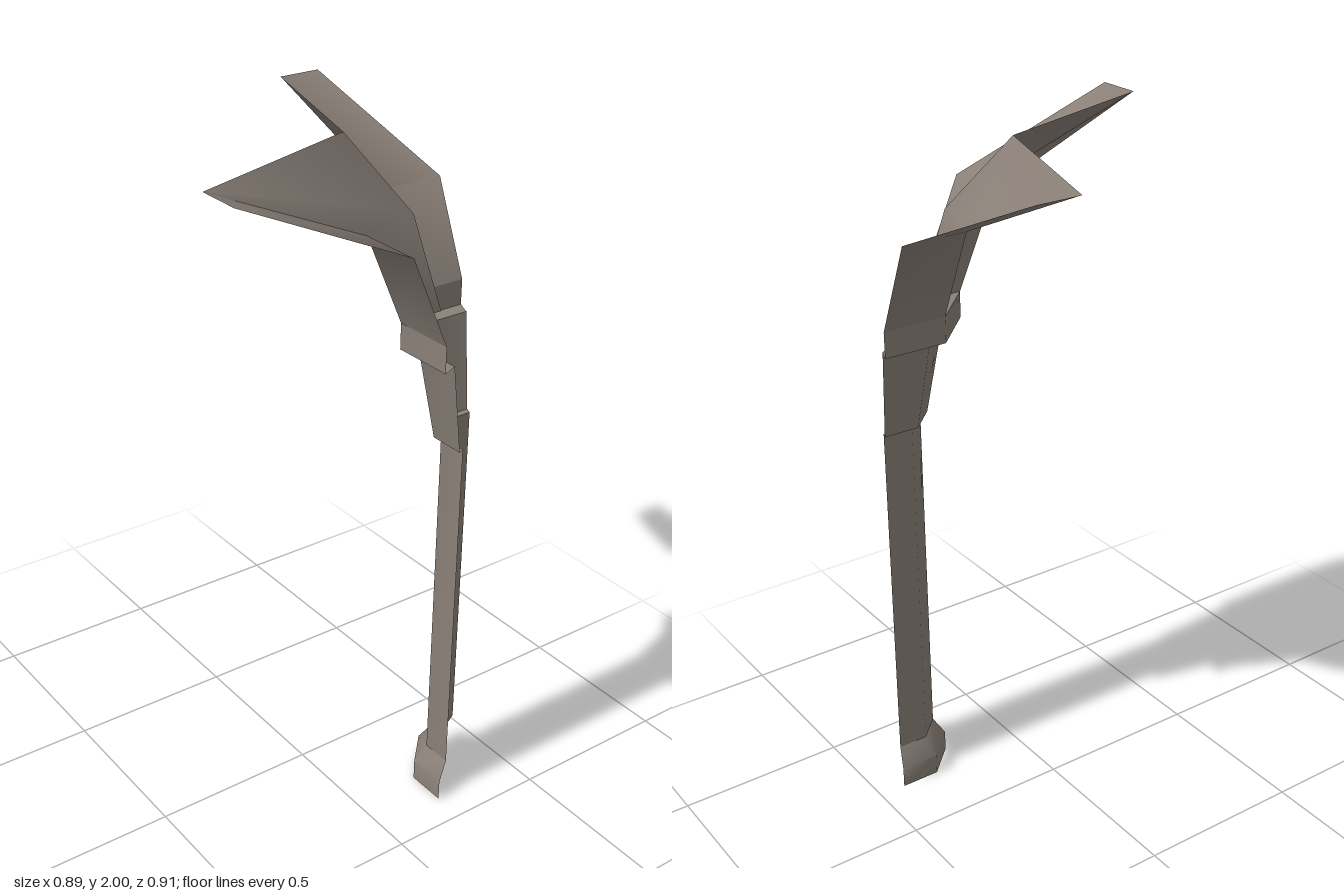
import * as THREE from 'three';
import { toCreasedNormals } from 'three/addons/utils/BufferGeometryUtils.js';

// Skin a stack of cross-sections (bottom to top); each section is { y, pts: [[x, z], ...] }
function skin(rows, crease = 0.9) {
  const pos = [], index = [], n = rows[0].pts.length;
  for (const { y, pts } of rows) for (const [x, z] of pts) pos.push(x, y, z);
  for (let r = 0; r < rows.length - 1; r++) {
    for (let i = 0; i < n - 1; i++) {
      const a = r * n + i, b = a + 1, c = a + n, d = c + 1;
      index.push(a, b, d, a, d, c);
    }
  }
  const geo = new THREE.BufferGeometry();
  geo.setAttribute('position', new THREE.Float32BufferAttribute(pos, 3));
  geo.setIndex(index);
  return toCreasedNormals(geo, crease);
}

// Open half-octagon section, bulging from the corner toward the room
const half = (y, x0, xm, x1, z0, zm, z1) =>
  ({ y, pts: [[x0, z0], [x0, zm], [xm, z1], [x1, z1]] });

export function createModel() {
  const group = new THREE.Group();
  group.name = 'cornerPillar';
  const stone = new THREE.MeshStandardMaterial({ color: 0x8a8078, side: THREE.DoubleSide });
  stone.name = 'stone';
  const add = (name, geo) => {
    const mesh = new THREE.Mesh(geo, stone);
    mesh.name = name;
    group.add(mesh);
  };

  // Sections of the pillar
  const foot = (y) => half(y, 0.2, 0.287, 0.407, -0.42, -0.302, -0.215);
  const column = (y) => half(y, 0.235, 0.302, 0.394, -0.407, -0.316, -0.248);
  const capLow = half(1.18, 0.215, 0.293, 0.402, -0.415, -0.308, -0.23);
  const capHigh = half(1.455, 0.167, 0.273, 0.422, -0.435, -0.287, -0.18);
  const ring = (y) => half(y, 0.12, 0.257, 0.443, -0.455, -0.267, -0.132);

  add('foot', skin([foot(0), foot(0.065), column(0.12)]));
  add('column', skin([column(0.12), column(1.18)]));
  add('capitalUnderside', skin([column(1.18), capLow]));
  add('capital', skin([capLow, capHigh]));
  add('ringUnderside', skin([capHigh, ring(1.455)]));
  add('ring', skin([ring(1.455), ring(1.53)]));

  // Flat ledge on the ring in front of the groin
  const ledge = new THREE.BufferGeometry();
  ledge.setAttribute('position', new THREE.Float32BufferAttribute(
    [0.12, 1.53, -0.267, 0.257, 1.53, -0.132, 0.257, 1.53, -0.267], 3));
  ledge.computeVertexNormals();
  add('ledge', ledge);

  // Vault spreading into two arms along the walls
  add('vault', skin([
    { y: 1.53, pts: [[0.12, -0.455], [0.12, -0.267], [0.257, -0.267], [0.257, -0.132], [0.443, -0.132]] },
    { y: 1.795, pts: [[0.007, -0.455], [0.007, -0.265], [0.2, -0.208], [0.257, -0.015], [0.443, -0.015]] },
    { y: 2, pts: [[-0.445, -0.368], [-0.445, -0.24], [0.065, -0.08], [0.245, 0.453], [0.377, 0.453]] },
  ]));
  return group;
}
